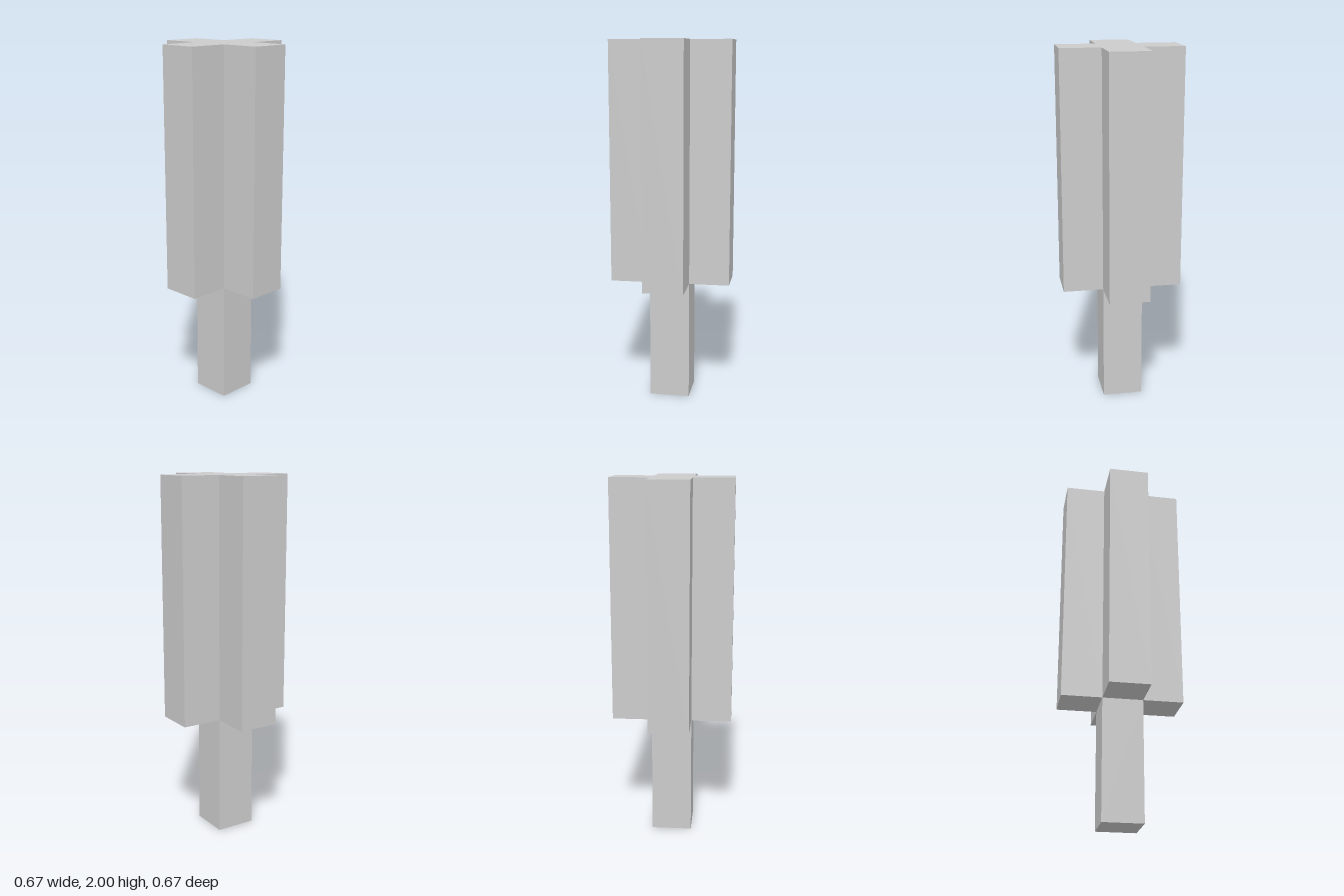
import * as THREE from 'three';

const W = 2 / 9;          // width of the stem and of each arm
const STEM_HEIGHT = 3 * W;
const HEAD_HEIGHT = 6 * W;

// Plus-shaped outline: one concave corner and two arm-end corners per quarter turn
function plusShape(inner, outer) {
  const points = [];
  for (let i = 0; i < 4; i++) {
    for (const [x, y] of [[outer, -inner], [outer, inner], [inner, inner]]) {
      points.push(new THREE.Vector2(x, y).rotateAround(new THREE.Vector2(), i * Math.PI / 2));
    }
  }
  return new THREE.Shape(points);
}

export function createModel() {
  const group = new THREE.Group();
  const material = new THREE.MeshStandardMaterial({ color: 0xcccccc, flatShading: true });

  // Square stem standing on the ground
  const stem = new THREE.Mesh(new THREE.BoxGeometry(W, STEM_HEIGHT, W), material);
  stem.name = 'stem';
  stem.position.y = STEM_HEIGHT / 2;

  // Tall cross-section head on top of the stem
  const headGeometry = new THREE.ExtrudeGeometry(plusShape(W / 2, W * 1.5), {
    depth: HEAD_HEIGHT, bevelEnabled: false,
  });
  headGeometry.rotateX(-Math.PI / 2);
  const head = new THREE.Mesh(headGeometry, material);
  head.name = 'crossHead';
  head.position.y = STEM_HEIGHT;

  group.add(stem, head);
  return group;
}
